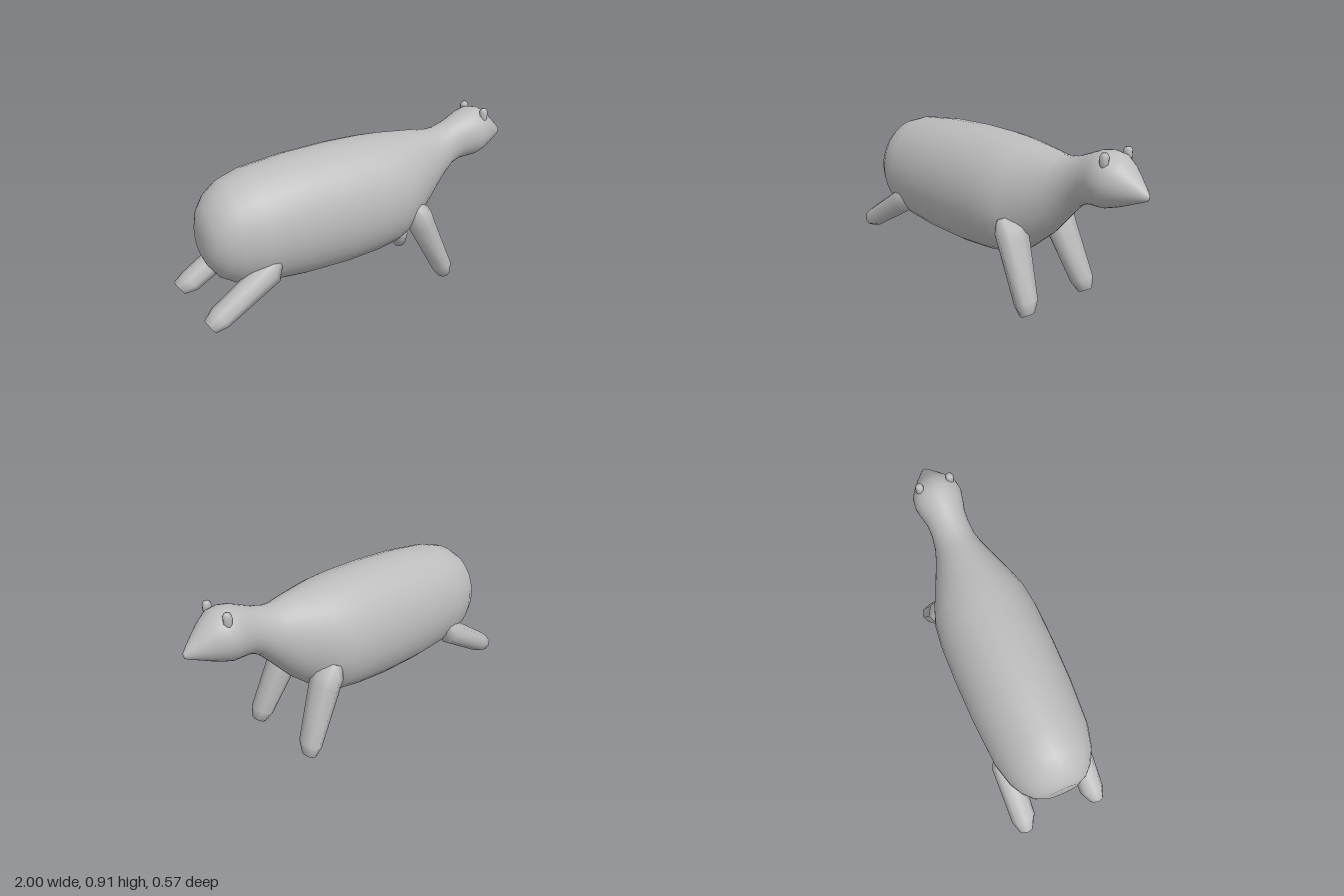
import * as THREE from 'three';

// Closed skin over elliptical rings [x, y, z, radius, zRadius];
// tilt turns the ring axis from +x about z.
function loft(rings, sides, tilt = 0) {
  const first = rings[0], last = rings[rings.length - 1];
  const all = [[...first.slice(0, 3), 0, 0], ...rings, [...last.slice(0, 3), 0, 0]];
  const pos = [], idx = [];
  all.forEach(([x, y, z, r, rz], i) => {
    for (let j = 0; j < sides; j++) {
      const a = (j / sides) * Math.PI * 2, c = Math.cos(a) * r;
      pos.push(x - Math.sin(tilt) * c, y + Math.cos(tilt) * c, z + Math.sin(a) * rz);
      if (i === all.length - 1) continue;
      const k = (j + 1) % sides, p = i * sides, q = p + sides;
      if (i > 0) idx.push(p + j, p + k, q + j);
      if (i < all.length - 2) idx.push(p + k, q + k, q + j);
    }
  });
  const g = new THREE.BufferGeometry();
  g.setAttribute('position', new THREE.Float32BufferAttribute(pos, 3));
  g.setIndex(idx);
  g.computeVertexNormals();
  return g;
}

export function createModel() {
  const group = new THREE.Group();
  const grey = new THREE.MeshStandardMaterial({ color: 0xbcbcbc });
  grey.name = 'grey';
  const add = (name, geometry) => {
    const m = new THREE.Mesh(geometry, grey);
    m.name = name;
    group.add(m);
  };

  // Body, neck and head: x, top, bottom, half width
  const profile = [
    [-0.91, 0.63, 0.43, 0.085], [-0.885, 0.69, 0.37, 0.145], [-0.84, 0.755, 0.305, 0.19],
    [-0.77, 0.805, 0.26, 0.23], [-0.65, 0.842, 0.228, 0.262], [-0.4, 0.87, 0.205, 0.28],
    [-0.15, 0.88, 0.2, 0.285], [0.05, 0.877, 0.213, 0.282], [0.17, 0.87, 0.23, 0.268],
    [0.24, 0.863, 0.26, 0.245], [0.32, 0.855, 0.325, 0.21], [0.4, 0.847, 0.39, 0.172],
    [0.47, 0.836, 0.465, 0.14], [0.53, 0.84, 0.53, 0.118], [0.6, 0.86, 0.6, 0.108],
    [0.66, 0.885, 0.628, 0.11], [0.72, 0.91, 0.633, 0.125], [0.77, 0.919, 0.635, 0.135],
    [0.82, 0.912, 0.65, 0.128], [0.87, 0.88, 0.668, 0.1], [0.92, 0.833, 0.69, 0.068],
    [0.97, 0.785, 0.71, 0.033], [0.995, 0.757, 0.722, 0.014], [1.0, 0.745, 0.735, 0.005],
  ];
  add('body', loft(profile.map(([x, t, b, w]) => [x, (t + b) / 2, 0, (t - b) / 2, w]), 32));

  for (const [side, s] of [['left', 1], ['right', -1]].map(([n], i) => [i ? 'Right' : 'Left', i ? 1 : -1])) {
    const mirror = (rings) => rings.map(([x, y, z, r, rz]) => [x, y, z * s, r, rz]);

    // Front leg, reaching forward and down
    add('frontLeg' + side, loft(mirror([
      [0.255, 0.492, 0.195, 0.04, 0.045], [0.285, 0.43, 0.18, 0.078, 0.09],
      [0.31, 0.37, 0.178, 0.076, 0.092], [0.44, 0.085, 0.213, 0.058, 0.068],
      [0.46, 0.025, 0.222, 0.036, 0.042],
    ]), 8, Math.atan2(-0.36, 0.16)));

    // Back leg, stretched out behind
    add('backLeg' + side, loft(mirror([
      [-0.588, 0.435, 0.2, 0.035, 0.04], [-0.635, 0.365, 0.2, 0.072, 0.072],
      [-0.92, 0.19, 0.205, 0.06, 0.067], [-0.978, 0.16, 0.212, 0.045, 0.04],
    ]), 8, Math.atan2(-0.225, -0.36)));

    // Stubby ear
    add('ear' + side, loft(mirror([
      [0.803, 0.85, 0.09, 0.014, 0.014], [0.803, 0.875, 0.086, 0.023, 0.021],
      [0.803, 0.908, 0.086, 0.024, 0.022], [0.803, 0.924, 0.085, 0.015, 0.014],
    ]), 8, Math.PI / 2));
  }
  return group;
}
